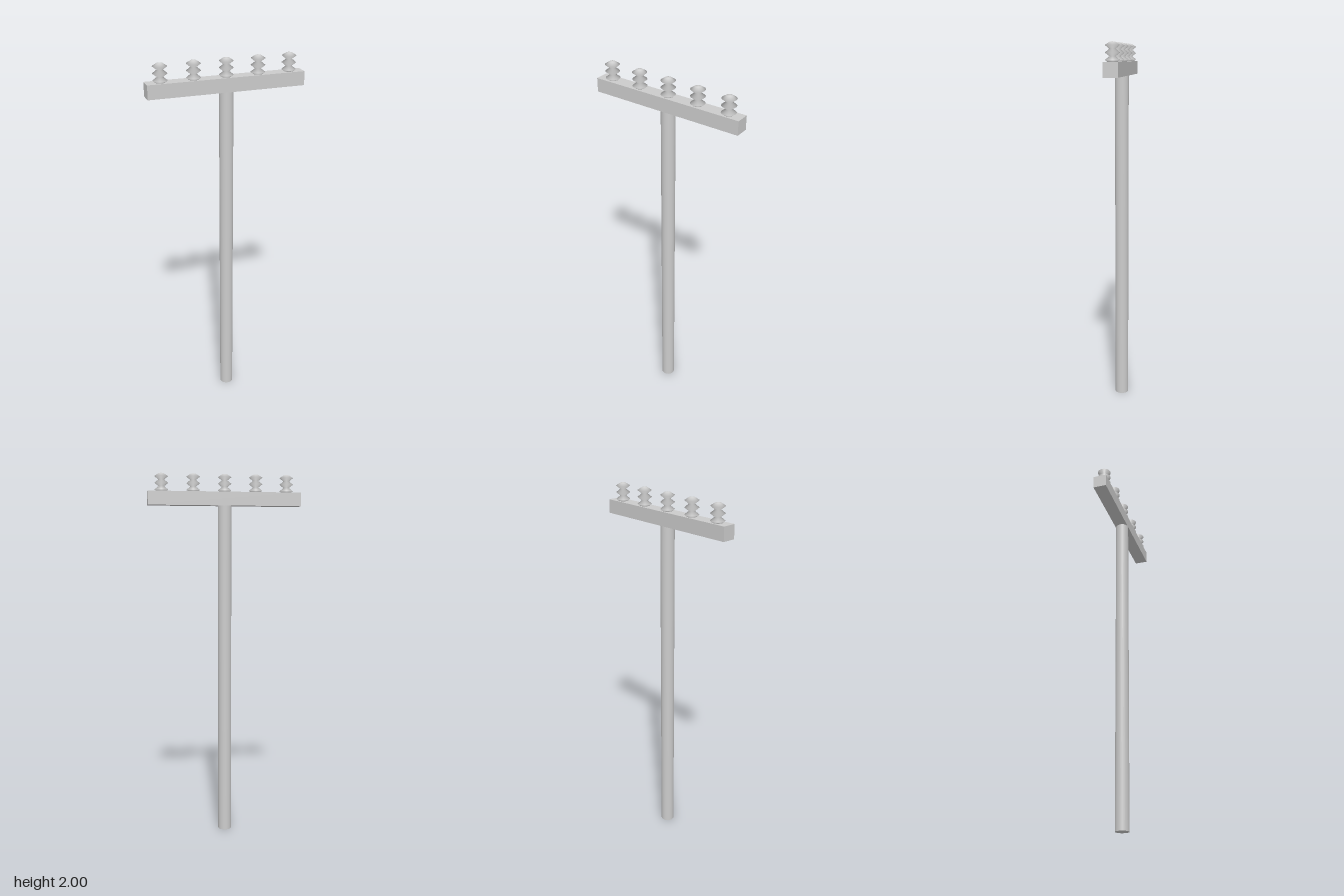
import * as THREE from 'three';

export function createModel() {
  const model = new THREE.Group();
  const material = new THREE.MeshStandardMaterial({ color: 0xcccccc });

  const add = (name, geometry, x, y) => {
    const mesh = new THREE.Mesh(geometry, material);
    mesh.name = name;
    mesh.position.set(x, y, 0);
    model.add(mesh);
  };

  // Round pole, reaching up to the underside of the crossarm
  const armBottom = 1.83, armHeight = 0.073;
  add('pole', new THREE.CylinderGeometry(0.037, 0.037, armBottom, 32), 0, armBottom / 2);

  // Square crossarm
  add('crossarm', new THREE.BoxGeometry(0.834, armHeight, 0.073), 0, armBottom + armHeight / 2);

  // Insulators: three stacked discs with sharp rims and narrow waists
  const armTop = armBottom + armHeight;
  const profile = [new THREE.Vector2(0.022, -0.003)];
  for (let i = 0; i < 3; i++) {
    const rim = 0.009 + i * 0.035;
    profile.push(new THREE.Vector2(0.037, rim));
    if (i < 2) profile.push(new THREE.Vector2(0.015, rim + 0.0175));
  }
  profile.push(new THREE.Vector2(0.015, 0.0935), new THREE.Vector2(0, 0.097));
  const insulator = new THREE.LatheGeometry(profile, 32);
  for (let i = -2; i <= 2; i++) add('insulator', insulator, i * 0.171, armTop);

  return model;
}
